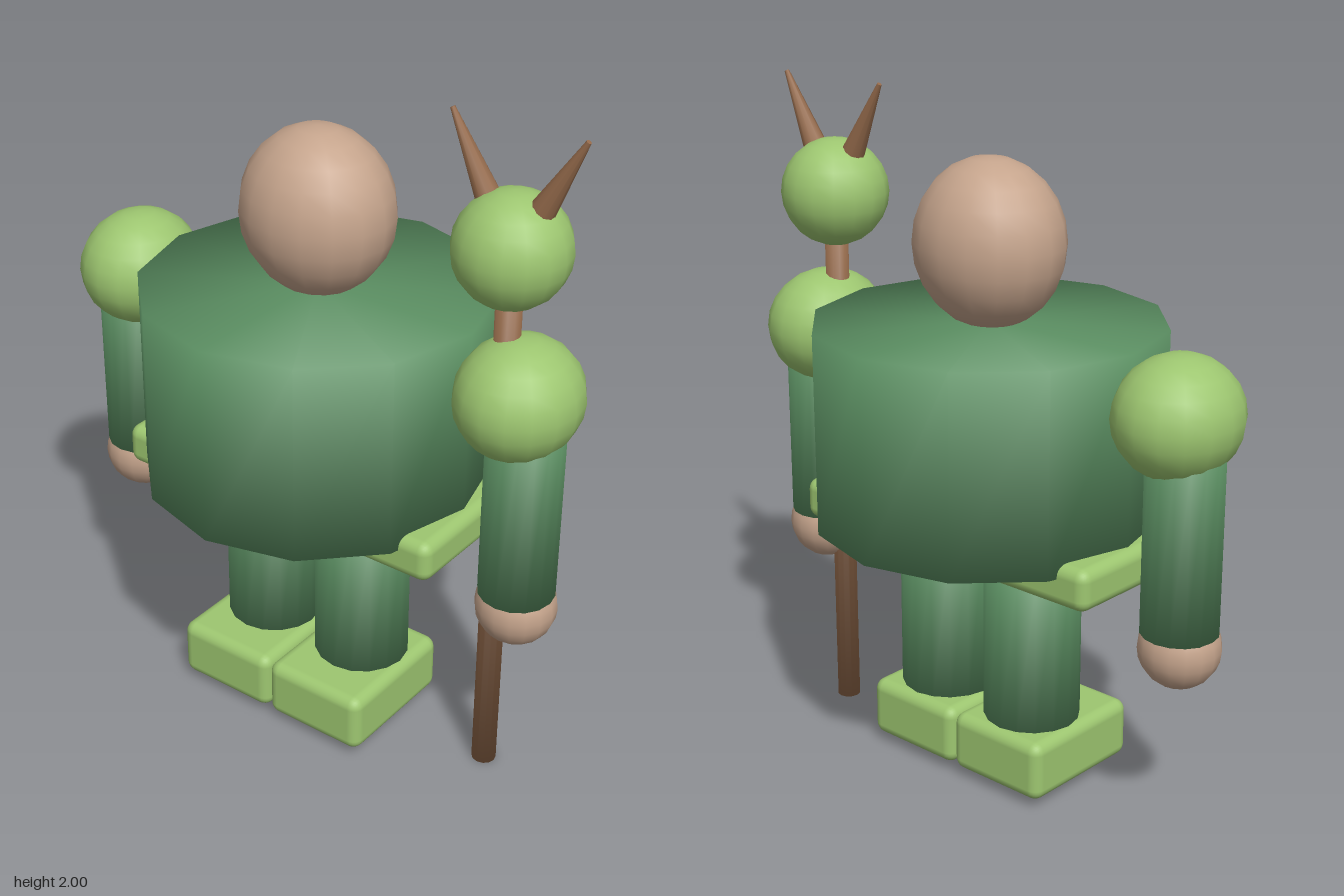
import * as THREE from 'three';
import { RoundedBoxGeometry } from 'three/addons/geometries/RoundedBoxGeometry.js';

const material = (name, color) => {
  const m = new THREE.MeshStandardMaterial({ color });
  m.name = name;
  return m;
};

export function createModel() {
  const group = new THREE.Group();
  const darkGreen = material('darkGreen', 0x5c9063);
  const lightGreen = material('lightGreen', 0x9dc670);
  const skin = material('skin', 0xc5a48c);
  const wood = material('wood', 0x946a4b);

  const add = (name, geometry, mat, x, y, z = 0) => {
    const mesh = new THREE.Mesh(geometry, mat);
    mesh.name = name;
    mesh.position.set(x, y, z);
    group.add(mesh);
    return mesh;
  };

  // Cylinder whose normals blend smoothly around its rims
  const softCylinder = (rTop, rBottom, height, sides) => {
    const g = new THREE.CylinderGeometry(rTop, rBottom, height, sides);
    const p = g.attributes.position;
    const n = new THREE.Vector3();
    for (let i = 0; i < p.count; i++) {
      n.set(p.getX(i), 0, p.getZ(i));
      const onRim = n.length() > 1e-5;
      n.normalize().multiplyScalar(onRim ? 0.76 : 0);
      n.y = Math.sign(p.getY(i)) * (onRim ? 0.65 : 1);
      g.attributes.normal.setXYZ(i, n.x, n.y, n.z);
    }
    return g;
  };

  const ellipsoid = (rx, ry, rz) =>
    new THREE.SphereGeometry(1, 16, 12).scale(rx, ry, rz);

  // Body
  add('torso', softCylinder(0.512, 0.512, 0.59, 12), darkGreen, 0, 1.085);
  add('belt', new RoundedBoxGeometry(1.09, 0.125, 0.46, 3, 0.035), lightGreen, 0, 0.768);
  add('head', ellipsoid(0.228, 0.243, 0.207), skin, 0, 1.603);

  // Limbs, mirrored
  for (const [side, s] of [['left', 1], ['right', -1]]) {
    add(side + 'Shoulder', ellipsoid(0.175, 0.173, 0.193), lightGreen, s * 0.667, 1.243);
    add(side + 'Arm', softCylinder(0.11, 0.11, 0.56, 16), darkGreen, s * 0.695, 0.913);
    add(side + 'Hand', ellipsoid(0.118, 0.117, 0.116), skin, s * 0.697, 0.59);
    add(side + 'Leg', softCylinder(0.143, 0.143, 0.515, 16), darkGreen, s * 0.168, 0.438);
    add(side + 'Shoe', new RoundedBoxGeometry(0.333, 0.183, 0.424, 3, 0.035), lightGreen, s * 0.168, 0.117, 0.042);
  }

  // Horned staff in the left hand
  add('staff', softCylinder(0.036, 0.036, 1.6, 12), wood, 0.62, 0.8);
  add('staffOrb', ellipsoid(0.161, 0.161, 0.161), lightGreen, 0.62, 1.66);
  for (const s of [-1, 1]) {
    const base = new THREE.Vector3(0.62 + s * 0.075, 1.775, 0);
    const tip = new THREE.Vector3(0.62 + s * 0.196, 1.996, 0);
    const axis = tip.clone().sub(base);
    const horn = add('staffHorn', new THREE.CylinderGeometry(0.007, 0.037, axis.length(), 10), wood, 0, 0);
    horn.position.copy(base).add(tip).multiplyScalar(0.5);
    horn.quaternion.setFromUnitVectors(new THREE.Vector3(0, 1, 0), axis.normalize());
  }

  return group;
}
